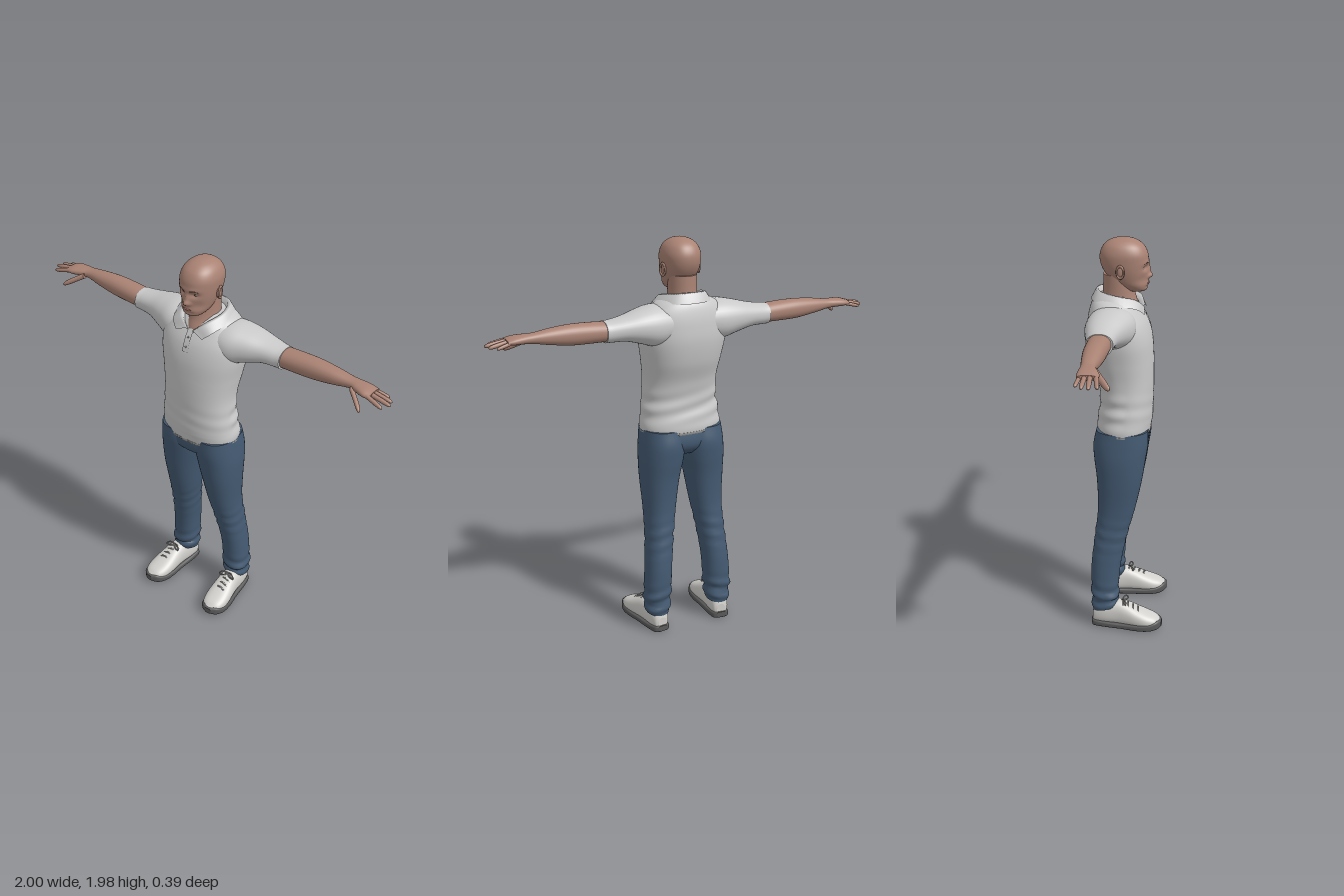
import * as THREE from 'three';

const mat = (name, color, side = THREE.FrontSide) => {
  const m = new THREE.MeshStandardMaterial({ color, side });
  m.name = name;
  return m;
};

// Closed skin through rounded cross-sections. Each row: [t, aMin, aMax, bMin, bMax];
// axis 'y' uses a = x, b = z; axis 'x' uses a = y, b = z; axis 'z' uses a = x, b = y.
function loft(axis, rows, { n = 2, seg = 36, sub = 5, warp } = {}) {
  const curve = new THREE.CubicInterpolant(rows.map((_, i) => i), rows.flat(), 5, new Float32Array(5));
  const steps = (rows.length - 1) * sub, pos = [], idx = [];
  const place = { y: (t, a, b) => [a, t, b], x: (t, a, b) => [t, a, b], z: (t, a, b) => [a, b, t] }[axis];
  const bend = (v) => Math.sign(v) * Math.abs(v) ** (2 / n);
  const ring = (i) => {
    const [t, a0, a1, b0, b1] = curve.evaluate(i / sub);
    for (let j = 0; j < seg; j++) {
      const th = (j / seg) * Math.PI * 2;
      const a = (a0 + a1) / 2 + ((a1 - a0) / 2) * bend(Math.cos(th));
      const b = (b0 + b1) / 2 + ((b1 - b0) / 2) * bend(Math.sin(th));
      const v = new THREE.Vector3(...place(t, a, b));
      if (warp) warp(v);
      pos.push(v.x, v.y, v.z);
    }
    return place(t, (a0 + a1) / 2, (b0 + b1) / 2);
  };
  for (let i = 0; i <= steps; i++) ring(i);
  for (let i = 0; i < steps; i++) for (let j = 0; j < seg; j++) {
    const k = (j + 1) % seg, p = i * seg, q = p + seg;
    idx.push(p + j, q + j, p + k, p + k, q + j, q + k);
  }
  // flat end caps with their own vertices
  for (const end of [0, steps]) {
    const base = pos.length / 3;
    pos.push(...ring(end));
    for (let j = 0; j < seg; j++) {
      const a = base + j, b = base + ((j + 1) % seg);
      idx.push(...(end ? [a, base + seg, b] : [a, b, base + seg]));
    }
  }
  const g = new THREE.BufferGeometry();
  g.setAttribute('position', new THREE.Float32BufferAttribute(pos, 3));
  g.setIndex(idx);
  // turn the skin outward if its volume came out negative
  const P = (i) => new THREE.Vector3(pos[i * 3], pos[i * 3 + 1], pos[i * 3 + 2]);
  let vol = 0;
  for (let i = 0; i < idx.length; i += 3) vol += P(idx[i]).dot(P(idx[i + 1]).cross(P(idx[i + 2])));
  if (vol < 0) flip(g);
  g.computeVertexNormals();
  return g;
}

function flip(g) {
  const a = g.index.array;
  for (let i = 0; i < a.length; i += 3) [a[i], a[i + 1]] = [a[i + 1], a[i]];
}

// Open sheet spanned between several curves
function sheet(lines, steps = 48) {
  const curves = lines.map((l) => new THREE.CatmullRomCurve3(l.map((p) => new THREE.Vector3(...p))));
  const pos = [], idx = [], w = steps + 1;
  curves.forEach((c) => { for (let i = 0; i <= steps; i++) pos.push(...c.getPoint(i / steps).toArray()); });
  for (let r = 0; r < curves.length - 1; r++) for (let i = 0; i < steps; i++) {
    const p = r * w + i;
    idx.push(p, p + w, p + 1, p + 1, p + w, p + w + 1);
  }
  const g = new THREE.BufferGeometry();
  g.setAttribute('position', new THREE.Float32BufferAttribute(pos, 3));
  g.setIndex(idx);
  g.computeVertexNormals();
  return g;
}

const tube = (pts, r) => new THREE.TubeGeometry(new THREE.CatmullRomCurve3(pts.map((p) => new THREE.Vector3(...p))), 16, r, 8);
const ball = (x, y, z, rx, ry, rz) => new THREE.SphereGeometry(1, 24, 16).scale(rx, ry, rz).translate(x, y, z);
const bump = (v, x, y, sx, sy) => Math.exp(-(((v.x - x) / sx) ** 2) - ((v.y - y) / sy) ** 2);

export function createModel() {
  const skin = mat('skin', 0xa98273), lip = mat('lips', 0x8d6058), brow = mat('brow', 0x5c443a);
  const eyeWhite = mat('eyeWhite', 0xc9c4bd), iris = mat('iris', 0x2b211c);
  const shirt = mat('shirt', 0xc9c9c9, THREE.DoubleSide), trim = mat('shirtHem', 0x9b9b99);
  const denim = mat('denim', 0x445a72), shoeMat = mat('shoeUpper', 0xd2d1cd), soleMat = mat('shoeSole', 0x5a5a5a);

  const model = new THREE.Group();
  model.name = 'standingMan';
  const add = (name, geo, m) => {
    const mesh = new THREE.Mesh(geo, m);
    mesh.name = name;
    model.add(mesh);
  };
  // left part at +x plus its mirror image
  const pair = (name, geo, m) => {
    const other = geo.clone().scale(-1, 1, 1);
    flip(other);
    add(name + 'Left', geo, m);
    add(name + 'Right', other, m);
  };

  // Head with sculpted nose, eye sockets, brow, cheeks, mouth and chin
  const sym = (y, rx, zf, zb) => [y, -rx, rx, zb, zf];
  const face = (v) => {
    if (v.z < 0.03) return;
    const ax = { x: Math.abs(v.x), y: v.y };
    v.z += 0.02 * bump(v, 0, 1.803, 0.015, 0.014) + 0.011 * bump(v, 0, 1.832, 0.011, 0.026)
      + 0.005 * bump(ax, 0.016, 1.8, 0.008, 0.008) - 0.013 * bump(ax, 0.034, 1.846, 0.021, 0.013)
      + 0.004 * bump(ax, 0.03, 1.87, 0.03, 0.012) + 0.005 * bump(v, 0, 1.769, 0.03, 0.014)
      - 0.004 * bump(v, 0, 1.752, 0.03, 0.006) - 0.006 * bump(ax, 0.055, 1.79, 0.02, 0.025);
  };
  add('head', loft('y', [
    sym(1.728, 0.03, 0.075, 0.01), sym(1.737, 0.048, 0.093, -0.015), sym(1.76, 0.066, 0.098, -0.05),
    sym(1.79, 0.077, 0.098, -0.085), sym(1.83, 0.087, 0.1, -0.115), sym(1.87, 0.092, 0.101, -0.13),
    sym(1.91, 0.092, 0.097, -0.13), sym(1.945, 0.079, 0.079, -0.114), sym(1.968, 0.056, 0.05, -0.087),
    sym(1.98, 0.028, 0.017, -0.053), sym(1.983, 0.002, -0.016, -0.02)], { n: 2.2, seg: 80, sub: 8, warp: face }), skin);
  add('neck', loft('y', [
    sym(1.58, 0.07, 0.07, -0.12), sym(1.64, 0.075, 0.066, -0.125), sym(1.69, 0.072, 0.045, -0.122),
    sym(1.74, 0.07, 0.035, -0.117), sym(1.81, 0.07, 0.03, -0.115)]), skin);
  pair('ear', ball(0.09, 1.833, -0.024, 0.009, 0.03, 0.018), skin);
  pair('earRim', new THREE.TorusGeometry(0.02, 0.005, 8, 24).scale(0.9, 1.4, 1)
    .rotateY(Math.PI / 2 + 0.3).translate(0.096, 1.836, -0.026), skin);
  pair('eye', ball(0.034, 1.846, 0.07, 0.015, 0.009, 0.0135), eyeWhite);
  pair('iris', ball(0.034, 1.846, 0.0805, 0.0055, 0.0055, 0.004), iris);
  pair('upperLid', tube([[0.019, 1.847, 0.083], [0.033, 1.855, 0.084], [0.05, 1.847, 0.074]], 0.003), skin);
  pair('eyebrow', tube([[0.015, 1.866, 0.1], [0.034, 1.871, 0.096], [0.055, 1.865, 0.08]], 0.0035), brow);
  add('lips', ball(0, 1.769, 0.097, 0.023, 0.007, 0.008), lip);

  // Shirt body with soft folds gathering at the waist
  const folds = (v) => {
    const k = 1 + 0.028 * Math.sin(v.y * 75 + v.x * 14) * Math.exp(-(((v.y - 1.17) / 0.07) ** 2))
      * (v.z < 0 ? 1 : 0.35);
    v.x *= k;
    v.z *= k;
    if (v.y < 1.1) v.y -= Math.max(0, v.z) * 0.08;
  };
  add('shirtBody', loft('y', [
    sym(1.04, 0.206, 0.117, -0.146), sym(1.07, 0.207, 0.122, -0.147), sym(1.12, 0.2, 0.128, -0.14),
    sym(1.2, 0.191, 0.13, -0.132), sym(1.3, 0.187, 0.132, -0.146), sym(1.4, 0.2, 0.13, -0.178),
    sym(1.5, 0.217, 0.122, -0.194), sym(1.58, 0.218, 0.1, -0.191), sym(1.64, 0.195, 0.065, -0.181),
    sym(1.685, 0.15, 0.03, -0.165), sym(1.71, 0.1, 0, -0.14)], { n: 2.3, seg: 64, sub: 8, warp: folds }), shirt);
  add('shirtHem', loft('y', [
    sym(1.034, 0.206, 0.117, -0.146), sym(1.04, 0.208, 0.119, -0.148), sym(1.046, 0.2075, 0.119, -0.148)],
  { n: 2.3, seg: 64, warp: folds }), trim);
  pair('sleeve', loft('x', [
    [0.08, 1.5, 1.675, -0.172, 0.05], [0.17, 1.485, 1.683, -0.182, 0.055], [0.25, 1.508, 1.67, -0.178, 0.025],
    [0.33, 1.53, 1.65, -0.165, -0.008], [0.4, 1.533, 1.638, -0.153, -0.023], [0.432, 1.533, 1.636, -0.15, -0.025]],
  { n: 2.2 }), shirt);

  // Turned-down collar: stand, fold and outer edge with front points
  const mirrorLine = (half) => [...half, ...half.slice(0, -1).reverse().map(([x, y, z]) => [-x, y, z])];
  add('collar', sheet([
    mirrorLine([[0.012, 1.63, 0.068], [0.06, 1.67, 0.04], [0.085, 1.69, -0.04], [0.06, 1.7, -0.11], [0, 1.7, -0.128]]),
    mirrorLine([[0.014, 1.648, 0.077], [0.065, 1.695, 0.05], [0.098, 1.722, -0.04], [0.068, 1.735, -0.118], [0, 1.738, -0.138]]),
    mirrorLine([[0.02, 1.652, 0.083], [0.078, 1.692, 0.058], [0.11, 1.718, -0.04], [0.078, 1.732, -0.13], [0, 1.735, -0.15]]),
    mirrorLine([[0.078, 1.628, 0.088], [0.115, 1.66, 0.06], [0.138, 1.683, -0.04], [0.095, 1.69, -0.145], [0, 1.69, -0.174]]),
  ]), shirt);
  add('placket', sheet([-0.016, 0.016].map((x) => [
    [x, 1.65, 0.068], [x, 1.61, 0.093], [x, 1.58, 0.106], [x, 1.545, 0.117]]), 12), shirt);
  [1.615, 1.57].forEach((y, i) => add('button', ball(0, y, 0.092 + i * 0.018, 0.005, 0.005, 0.003), trim));

  // Forearm and palm in one skin, then fingers and thumb
  pair('arm', loft('x', [
    [0.39, 1.54, 1.631, -0.143, -0.033], [0.5, 1.54, 1.638, -0.144, -0.036], [0.6, 1.543, 1.64, -0.143, -0.042],
    [0.7, 1.557, 1.632, -0.136, -0.051], [0.78, 1.572, 1.621, -0.128, -0.062], [0.825, 1.575, 1.619, -0.13, -0.05],
    [0.87, 1.575, 1.615, -0.133, -0.036], [0.905, 1.58, 1.605, -0.129, -0.038]], { n: 2.2 }), skin);
  const finger = (p, q, r) => loft('x', [[0, 1], [0.3, 0.95], [0.6, 0.95], [0.85, 0.82], [0.96, 0.5], [1, 0.05]].map(([t, s]) => {
    const [x, y, z] = p.map((v, i) => v + (q[i] - v) * t);
    return [x, y - r * s, y + r * s, z - r * s, z + r * s];
  }), { seg: 14, sub: 3 });
  pair('indexFinger', finger([0.885, 1.595, -0.049], [0.978, 1.573, -0.034], 0.0115), skin);
  pair('middleFinger', finger([0.885, 1.596, -0.073], [1, 1.577, -0.069], 0.0115), skin);
  pair('ringFinger', finger([0.885, 1.595, -0.096], [0.99, 1.575, -0.1], 0.011), skin);
  pair('littleFinger', finger([0.88, 1.592, -0.117], [0.96, 1.573, -0.129], 0.0095), skin);
  pair('thumb', finger([0.8, 1.588, -0.065], [0.89, 1.537, 0.003], 0.016), skin);

  // Jeans: hips and tapered legs with creases at knee and ankle
  add('hips', loft('y', [
    sym(0.925, 0.1, 0.06, -0.11), sym(0.96, 0.17, 0.1, -0.14), sym(1, 0.2, 0.112, -0.148), sym(1.07, 0.2, 0.11, -0.138)],
  { n: 2.3, seg: 48 }), denim);
  const creases = (v) => {
    const w = Math.exp(-(((v.y - 0.17) / 0.06) ** 2)) + 0.5 * Math.exp(-(((v.y - 0.5) / 0.08) ** 2));
    const d = 0.005 * w * Math.sin(v.y * 95 + v.x * 20 + v.z * 14);
    v.x += Math.sign(v.x - 0.16) * d;
    v.z += Math.sign(v.z + 0.09) * d;
    if (v.y < 0.16) v.y += (v.z + 0.1) * 0.22;
  };
  pair('trouserLeg', loft('y', [
    [0.105, 0.112, 0.231, -0.163, -0.034], [0.14, 0.107, 0.235, -0.165, -0.03], [0.22, 0.1, 0.235, -0.168, -0.03],
    [0.35, 0.093, 0.226, -0.167, -0.018], [0.5, 0.075, 0.213, -0.15, 0.012], [0.64, 0.052, 0.208, -0.136, 0.05],
    [0.79, 0.028, 0.216, -0.14, 0.083], [0.9, 0.005, 0.219, -0.153, 0.1], [0.98, -0.004, 0.214, -0.158, 0.112],
    [1.055, 0, 0.206, -0.143, 0.112]], { n: 2.25, seg: 40, sub: 8, warp: creases }), denim);

  // Shoes, toes turned slightly outward
  const turn = (g) => g.rotateY(0.1).translate(0.185, 0, 0);
  const slab = (z, r, lo, hi) => [z, -r, r, lo, hi];
  pair('shoeUpper', turn(loft('z', [
    slab(-0.161, 0.022, 0.02, 0.08), slab(-0.148, 0.04, 0.012, 0.115), slab(-0.1, 0.05, 0.01, 0.14),
    slab(-0.03, 0.051, 0.01, 0.146), slab(0.02, 0.056, 0.01, 0.132), slab(0.07, 0.062, 0.01, 0.11),
    slab(0.12, 0.062, 0.01, 0.09), slab(0.16, 0.05, 0.015, 0.074), slab(0.186, 0.026, 0.025, 0.055)], { n: 2.4 })), shoeMat);
  pair('shoeSole', turn(loft('z', [
    slab(-0.166, 0.024, 0.006, 0.036), slab(-0.15, 0.044, 0, 0.038), slab(-0.09, 0.053, 0, 0.035),
    slab(0, 0.058, 0, 0.034), slab(0.07, 0.067, 0, 0.038), slab(0.13, 0.066, 0.002, 0.046),
    slab(0.172, 0.049, 0.008, 0.058), slab(0.195, 0.018, 0.02, 0.052)], { n: 4, seg: 48 })), soleMat);
  for (let i = 0; i < 4; i++) {
    const z = -0.005 + i * 0.026, y = 0.143 - i * 0.0105;
    pair('lace', turn(tube([[-0.032, y - 0.014, z - 0.006], [0, y + 0.001, z], [0.032, y - 0.014, z + 0.006]], 0.004)), trim);
  }
  for (const s of [-1, 1]) pair('laceBow', turn(tube([
    [0, 0.146, -0.01], [s * 0.025, 0.158, 0.002], [s * 0.045, 0.14, 0.012], [s * 0.02, 0.142, 0.012], [0, 0.145, -0.005]], 0.0035)), trim);

  return model;
}
